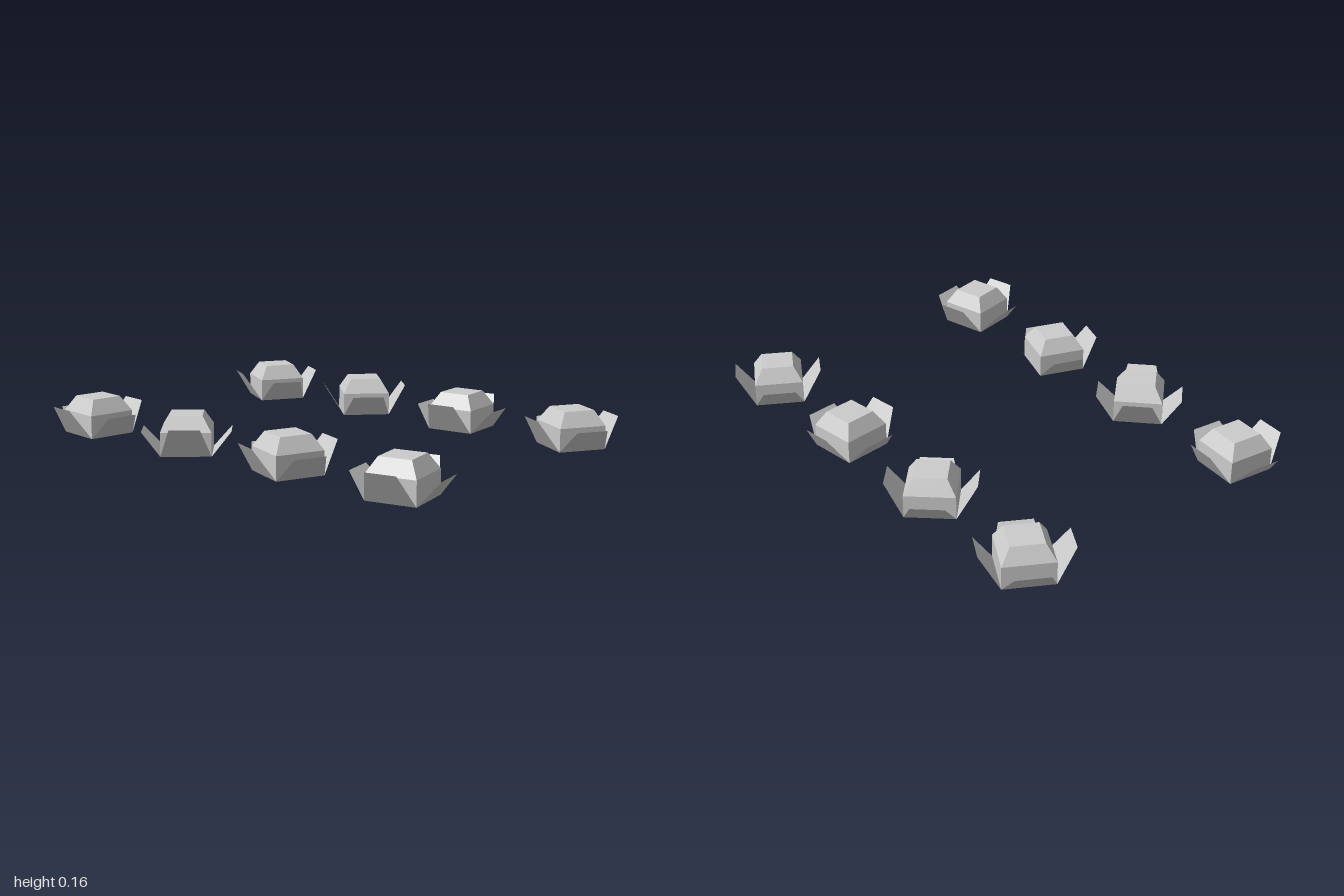
import * as THREE from 'three';

const material = new THREE.MeshStandardMaterial({ color: 0xcccccc, flatShading: true });
const leafMaterial = new THREE.MeshStandardMaterial({ color: 0xcccccc, flatShading: true, side: THREE.DoubleSide });

const BASE = 0.1; // half width of the square heart
const SHOULDER = 0.095;
const TOP = 0.155;

// Square block, tapering from one half width to another
function squareBlock(name, bottomHalf, topHalf, y0, y1, open) {
  const g = new THREE.CylinderGeometry(topHalf * Math.SQRT2, bottomHalf * Math.SQRT2, y1 - y0, 4, 1, open);
  g.rotateY(Math.PI / 4);
  g.translate(0, (y0 + y1) / 2, 0);
  const mesh = new THREE.Mesh(g, material);
  mesh.name = name;
  return mesh;
}

// Thin leaf rising outwards from one bottom edge, narrowing to its tip
function leaf(name, angle, tipHalf, reach, height) {
  const g = new THREE.PlaneGeometry(1, 1);
  const p = g.attributes.position;
  for (let i = 0; i < p.count; i++) {
    const side = Math.sign(p.getX(i));
    if (p.getY(i) > 0) p.setXYZ(i, side * tipHalf, height, reach);
    else p.setXYZ(i, side * BASE, 0, BASE);
  }
  g.computeVertexNormals();
  const mesh = new THREE.Mesh(g, leafMaterial);
  mesh.name = name;
  mesh.rotation.y = angle;
  return mesh;
}

// One leafy head: square heart, sloped crown and four leaves
function plant() {
  const group = new THREE.Group();
  group.add(squareBlock('heart', BASE, BASE, 0, SHOULDER, false));
  group.add(squareBlock('crown', BASE, 0.065, SHOULDER, TOP, false));
  group.add(leaf('frontLeaf', 0, 0.066, 0.177, 0.092));
  group.add(leaf('leftLeaf', Math.PI / 2, 0.06, 0.178, 0.122));
  group.add(leaf('backLeaf', Math.PI, 0.066, 0.177, 0.092));
  group.add(leaf('rightLeaf', -Math.PI / 2, 0.06, 0.178, 0.122));
  return group;
}

export function createModel() {
  const model = new THREE.Group();
  model.name = 'plantRows';
  // Two rows of four, each head turned differently (degrees, front to back)
  const rows = [
    { name: 'rightRow', x: -0.543, turns: [13, -20, 43, -7] },
    { name: 'leftRow', x: 0.541, turns: [-30, 7, -43, -30] },
  ];
  const depths = [0.812, 0.268, -0.275, -0.815];
  for (const { name, x, turns } of rows) {
    const row = new THREE.Group();
    row.name = name;
    turns.forEach((deg, i) => {
      const head = plant();
      head.name = `plant${i + 1}`;
      head.position.set(x, 0, depths[i]);
      head.rotation.y = THREE.MathUtils.degToRad(deg);
      row.add(head);
    });
    model.add(row);
  }
  return model;
}
